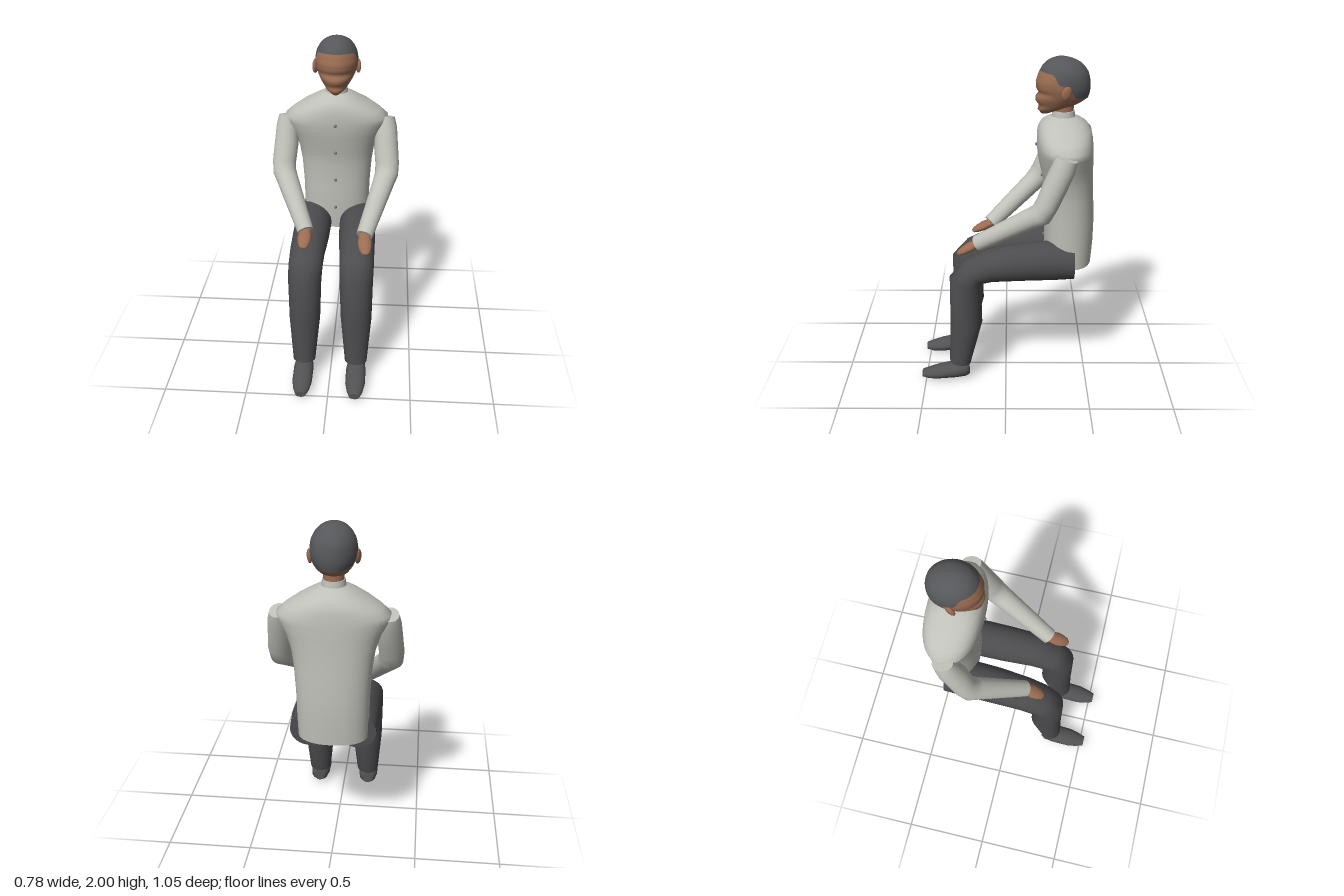
import * as THREE from 'three';

const mat = (name, color) => Object.assign(new THREE.MeshStandardMaterial({ color }), { name });
const V = (x, y, z) => new THREE.Vector3(x, y, z);

// Smooth closed-loop surface; point(a, i) gives ring i at angle a. Ends may be capped flat.
function loft(point, rings, seg = 28, caps = true) {
  const pos = [], idx = [];
  const push = p => pos.push(p.x, p.y, p.z) / 3 - 1;
  const ring = i => Array.from({ length: seg }, (_, j) => point((j / seg) * Math.PI * 2, i));
  for (let i = 0; i < rings; i++) ring(i).forEach(push);
  for (let i = 0; i < rings - 1; i++) for (let j = 0; j < seg; j++) {
    const a = i * seg + j, b = i * seg + (j + 1) % seg;
    idx.push(a, b, a + seg, b, b + seg, a + seg);
  }
  if (caps) for (const end of [0, rings - 1]) {
    const pts = ring(end);
    const mid = push(pts.reduce((s, p) => s.add(p), V(0, 0, 0)).divideScalar(seg));
    const first = pos.length / 3;
    pts.forEach(push);
    for (let j = 0; j < seg; j++) {
      const p = first + j, q = first + (j + 1) % seg;
      end ? idx.push(mid, p, q) : idx.push(mid, q, p);
    }
  }
  const g = new THREE.BufferGeometry();
  g.setAttribute('position', new THREE.Float32BufferAttribute(pos, 3));
  g.setIndex(idx);
  g.computeVertexNormals();
  return g;
}

// Limb along a path of [x, y, z, side radius, depth radius]
function limb(path) {
  const c = path.map(p => V(p[0], p[1], p[2]));
  const frames = path.map((p, i) => {
    const dir = (k) => c[k + 1].clone().sub(c[k]).normalize();
    const t = dir(Math.max(i - 1, 0)).add(dir(Math.min(i, c.length - 2))).normalize();
    const u = V(1, 0, 0).addScaledVector(t, -t.x).normalize();
    return { u, v: t.clone().cross(u) };
  });
  return loft((a, i) => c[i].clone()
    .addScaledVector(frames[i].u, path[i][3] * Math.cos(a))
    .addScaledVector(frames[i].v, path[i][4] * Math.sin(a)), path.length, 24);
}

// Limb from side-profile pairs: [x, half width, upper y, upper z, lower y, lower z]
const profileLimb = rows => loft((a, i) => {
  const [x, w, y1, z1, y2, z2] = rows[i], k = (1 + Math.sin(a)) / 2;
  return V(x + w * Math.cos(a), y2 + (y1 - y2) * k, z2 + (z1 - z2) * k);
}, rows.length, 24);

// Linear lookup in rows sorted by their first column
function lookup(rows, key) {
  let i = 0;
  while (i < rows.length - 2 && key > rows[i + 1][0]) i++;
  const k = THREE.MathUtils.clamp((key - rows[i][0]) / (rows[i + 1][0] - rows[i][0]), 0, 1);
  return rows[i].map((v, n) => v + (rows[i + 1][n] - v) * k);
}

export function createModel() {
  const root = new THREE.Group();
  const coat = mat('coat grey', 0xbfc0b8), trousers = mat('trouser charcoal', 0x4c4c4f);
  const hair = mat('hair grey', 0x56575a), skin = mat('skin brown', 0x9a6c52);
  const shoe = mat('shoe grey', 0x525255), button = mat('button grey', 0x77777a);
  const add = (name, geo, material, x = 0, y = 0, z = 0) => {
    const m = new THREE.Mesh(geo, material);
    m.name = name;
    m.position.set(x, y, z);
    root.add(m);
    return m;
  };

  // Torso: y, half width, front z, back z
  const body = [
    [0.77, 0.2, -0.24, -0.515], [0.9, 0.205, -0.23, -0.523], [1.05, 0.208, -0.23, -0.524],
    [1.2, 0.218, -0.232, -0.515], [1.3, 0.232, -0.215, -0.51], [1.4, 0.265, -0.19, -0.507],
    [1.47, 0.305, -0.18, -0.505], [1.51, 0.312, -0.178, -0.502], [1.55, 0.265, -0.178, -0.498],
    [1.59, 0.205, -0.183, -0.49], [1.625, 0.14, -0.2, -0.46], [1.645, 0.105, -0.23, -0.43],
    [1.66, 0.07, -0.262, -0.395]];
  const soft = v => Math.sign(v) * Math.abs(v) ** 0.88;
  add('torso', loft((a, i) => {
    const [y, w, f, b] = body[i];
    return V(w * soft(Math.cos(a)), y, (f + b) / 2 - (f - b) / 2 * soft(Math.sin(a)));
  }, body.length, 36), coat);
  for (const y of [0.92, 1.11, 1.3, 1.49])
    add('button', new THREE.SphereGeometry(0.01, 12, 8), button, 0, y, lookup(body, y)[2] + 0.001);
  add('collar', new THREE.CylinderGeometry(0.063, 0.07, 0.05, 28), coat, 0, 1.668, -0.328);
  add('neck', new THREE.CylinderGeometry(0.058, 0.058, 0.12, 24), skin, 0, 1.71, -0.328);

  // Head: y, half width, front z, back z
  const skull = [
    [1.675, 0.018, -0.2, -0.24], [1.7, 0.055, -0.18, -0.32], [1.725, 0.077, -0.187, -0.39],
    [1.745, 0.09, -0.17, -0.43], [1.77, 0.105, -0.164, -0.465], [1.8, 0.118, -0.185, -0.474],
    [1.82, 0.124, -0.17, -0.476], [1.86, 0.128, -0.167, -0.476], [1.91, 0.12, -0.183, -0.465],
    [1.945, 0.102, -0.202, -0.442], [1.97, 0.08, -0.224, -0.412], [1.985, 0.058, -0.248, -0.38],
    [1.995, 0.032, -0.277, -0.345], [2, 0.001, -0.309, -0.311]];
  // Hairline height from back (-1) to front (1)
  const hairline = [[-1, 1.77], [-0.4, 1.785], [-0.12, 1.85], [0.2, 1.86], [0.42, 1.915], [1, 1.922]];
  const headPoint = (a, y) => {
    const [, w, f, b] = lookup(skull, y);
    return V(w * Math.cos(a), y, (f + b) / 2 - (f - b) / 2 * Math.sin(a));
  };
  const edge = a => lookup(hairline, -Math.sin(a))[1];
  add('face', loft((a, i) => headPoint(a, 1.675 + (edge(a) - 1.675) * i / 20), 21, 48), skin);
  add('hair', loft((a, i) =>
    headPoint(a, edge(a) + (2 - edge(a)) * Math.sin(i / 14 * Math.PI / 2)), 15, 48, false), hair);

  for (const s of [1, -1]) {
    const ear = add('ear', new THREE.SphereGeometry(1, 16, 12), skin, s * 0.127, 1.815, s > 0 ? -0.335 : -0.315);
    ear.scale.set(0.014, 0.042, 0.03);
    ear.rotation.set(-0.2, s * 0.35, 0);

    // Trouser leg, bent at the knee
    add('leg', profileLimb([
      [s * 0.14, 0.108, 0.905, -0.405, 0.698, -0.405], [s * 0.14, 0.115, 0.93, -0.28, 0.69, -0.3],
      [s * 0.143, 0.113, 0.912, -0.08, 0.685, -0.1], [s * 0.15, 0.106, 0.88, 0.11, 0.68, 0.08],
      [s * 0.153, 0.103, 0.81, 0.245, 0.67, 0.14], [s * 0.154, 0.1, 0.705, 0.338, 0.655, 0.15],
      [s * 0.157, 0.094, 0.42, 0.34, 0.4, 0.145], [s * 0.16, 0.068, 0.13, 0.35, 0.11, 0.22]]), trousers);

    add('shoe', profileLimb([
      [s * 0.163, 0.035, 0.105, 0.233, 0.03, 0.228], [s * 0.163, 0.054, 0.122, 0.255, 0.018, 0.25],
      [s * 0.163, 0.061, 0.113, 0.31, 0.009, 0.31], [s * 0.163, 0.06, 0.085, 0.42, 0.002, 0.42],
      [s * 0.163, 0.048, 0.066, 0.48, 0, 0.48], [s * 0.163, 0.032, 0.05, 0.525, 0.01, 0.525]]), shoe);
  }

  // Arms: the left hand rests further forward than the right
  const arms = [
    { s: 1, wrist: V(0.195, 0.945, 0.165), tip: V(0.207, 0.882, 0.283) },
    { s: -1, wrist: V(-0.16, 0.925, 0.095), tip: V(-0.165, 0.868, 0.21) }];
  for (const { s, wrist, tip } of arms) {
    const elbow = V(s * 0.318, 1.185, -0.21);
    const on = (p, q, k, w, d) => [...p.clone().lerp(q, k).toArray(), w, d];
    add('sleeve', limb([
      [s * 0.306, 1.5, -0.335, 0.048, 0.063], [s * 0.303, 1.44, -0.317, 0.066, 0.069],
      [s * 0.306, 1.33, -0.27, 0.073, 0.07], [s * 0.316, 1.235, -0.23, 0.072, 0.066],
      on(elbow, wrist, 0.03, 0.071, 0.068), on(elbow, wrist, 0.16, 0.066, 0.062),
      on(elbow, wrist, 0.55, 0.058, 0.056), on(elbow, wrist, 1, 0.049, 0.048)]), coat);
    add('hand', limb([
      on(wrist, tip, -0.2, 0.032, 0.024), on(wrist, tip, 0.1, 0.036, 0.026),
      on(wrist, tip, 0.4, 0.042, 0.027), on(wrist, tip, 0.7, 0.036, 0.022),
      on(wrist, tip, 0.92, 0.025, 0.015), on(wrist, tip, 1, 0.012, 0.008)]), skin);
  }
  return root;
}
